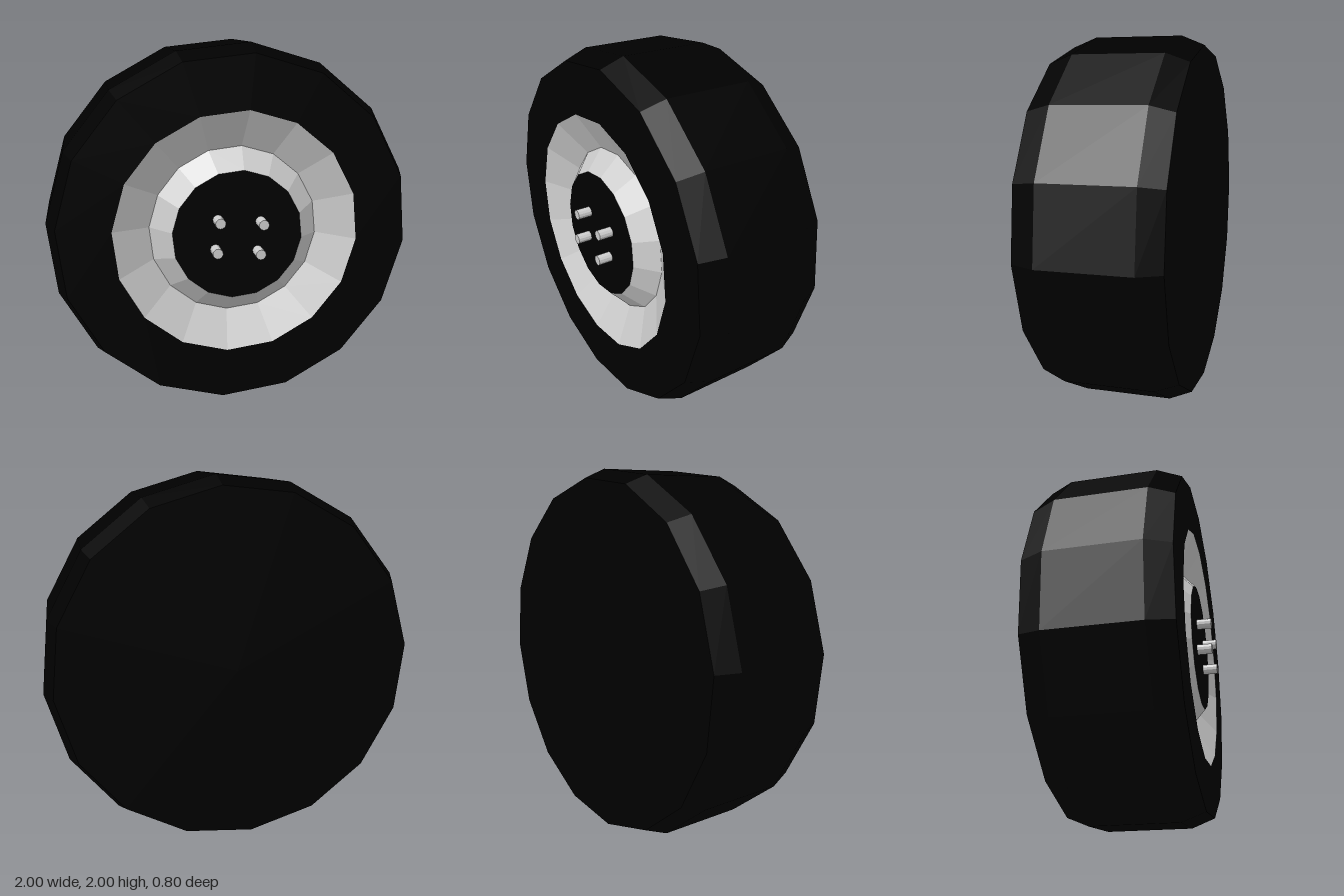
import * as THREE from 'three';

const SIDES = 16;
const TILT = THREE.MathUtils.degToRad(-5.1);

// Faceted surface of revolution around z; profile is [radius, z] from back to front
function turned(name, profile, material) {
  const points = profile.map(([r, z]) => new THREE.Vector2(r, z));
  const geometry = new THREE.LatheGeometry(points, SIDES);
  geometry.rotateX(Math.PI / 2);
  const mesh = new THREE.Mesh(geometry, material);
  mesh.name = name;
  return mesh;
}

export function createModel() {
  const rubber = new THREE.MeshStandardMaterial({ color: 0x000000, flatShading: true });
  const metal = new THREE.MeshStandardMaterial({ color: 0xcccccc, flatShading: true });

  const wheel = new THREE.Group();
  wheel.name = 'wheel';

  // Tyre with closed back, bevelled shoulders and flat front wall
  wheel.add(turned('tyre', [
    [0, -0.4], [0.954, -0.4], [1.004, -0.28], [1.004, 0.2], [0.954, 0.33], [0.67, 0.33],
  ], rubber));

  // Rim sinks into a groove, then rises to the hub
  wheel.add(turned('rim', [[0.67, 0.33], [0.467, 0.215], [0.355, 0.32]], metal));
  wheel.add(turned('hubCap', [[0.355, 0.32], [0, 0.32]], rubber));

  // Four wheel studs
  const studGeometry = new THREE.CylinderGeometry(0.028, 0.028, 0.1, 12);
  studGeometry.rotateX(Math.PI / 2);
  for (const sx of [-1, 1]) {
    for (const sy of [-1, 1]) {
      const stud = new THREE.Mesh(studGeometry, metal);
      stud.name = 'stud';
      stud.position.set(sx * 0.117, sy * 0.082, 0.35);
      wheel.add(stud);
    }
  }

  wheel.rotation.z = TILT;
  wheel.position.y = 1;

  const model = new THREE.Group();
  model.name = 'wheelModel';
  model.add(wheel);
  return model;
}
